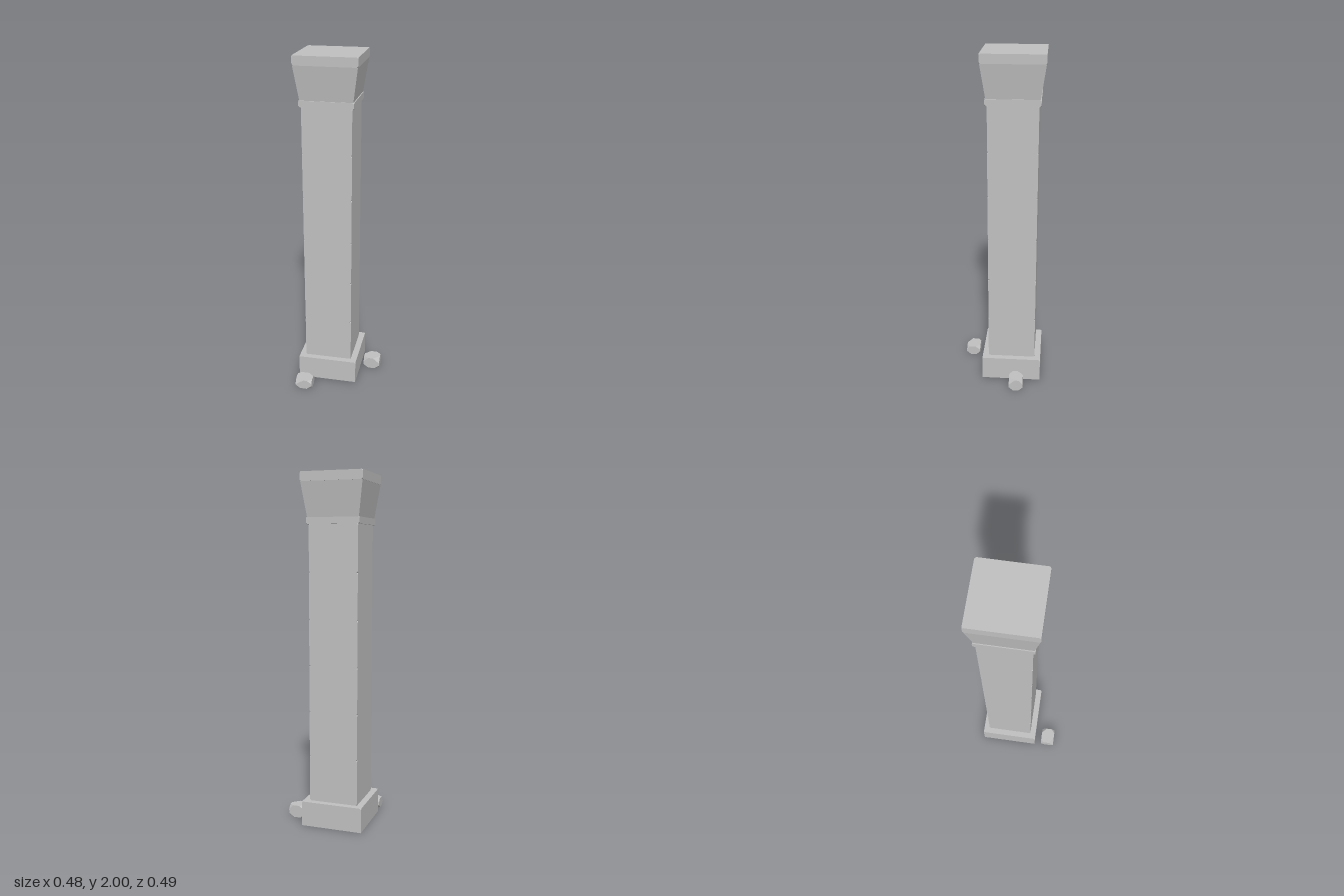
import * as THREE from 'three';
import { ConvexGeometry } from 'three/addons/geometries/ConvexGeometry.js';

const stone = new THREE.MeshStandardMaterial({ color: 0xc0c0c0, side: THREE.DoubleSide });
stone.name = 'grey stone';

// Block from y = 0 up to h with its eight corners cut off.
// cut(sx, sy, sz) returns how far the cut reaches along x, y and z.
// top scales the upper face for a flared block.
function chippedBlock(w, h, d, cut, top = 1) {
  const points = [];
  for (const sx of [-1, 1]) for (const sy of [-1, 1]) for (const sz of [-1, 1]) {
    const [cx, cy, cz] = cut(sx, sy, sz);
    const corner = [sx * w / 2, sy > 0 ? h : 0, sz * d / 2];
    const ends = cx + cy + cz === 0 ? [[0, 0, 0]] : [[cx, 0, 0], [0, cy, 0], [0, 0, cz]];
    for (const [x, y, z] of ends) {
      const py = corner[1] - sy * y;
      const s = 1 + (top - 1) * py / h;
      points.push(new THREE.Vector3((corner[0] - sx * x) * s, py, (corner[2] - sz * z) * s));
    }
  }
  return new ConvexGeometry(points);
}

// Removes the faces lying on y = 0
function openBottom(geometry) {
  const p = geometry.attributes.position;
  const kept = [];
  for (let i = 0; i < p.count; i += 3) {
    if (Math.max(p.getY(i), p.getY(i + 1), p.getY(i + 2)) < 1e-5) continue;
    for (let j = i; j < i + 3; j++) kept.push(p.getX(j), p.getY(j), p.getZ(j));
  }
  const open = new THREE.BufferGeometry();
  open.setAttribute('position', new THREE.Float32BufferAttribute(kept, 3));
  open.computeVertexNormals();
  return open;
}

function add(parent, name, geometry, x, y, z) {
  const mesh = new THREE.Mesh(geometry, stone);
  mesh.name = name;
  mesh.position.set(x, y, z);
  parent.add(mesh);
}

export function createModel() {
  const model = new THREE.Group();
  model.name = 'stoneColumn';
  const column = new THREE.Group();
  column.name = 'column';
  column.position.set(-0.0625, 0, -0.0655);
  model.add(column);

  const small = () => [0.008, 0.008, 0.008];
  const none = () => [0, 0, 0];
  const topOnly = (sx, sy) => (sy > 0 ? small() : none());

  // Hollow plinth
  add(column, 'base', openBottom(chippedBlock(0.357, 0.143, 0.357, topOnly)), 0, 0, 0);

  // Shaft of six stacked blocks, notched at the corners of each joint
  const blocks = 6, bottom = 0.143, height = (1.72 - bottom) / blocks;
  for (let i = 0; i < blocks; i++) {
    add(column, 'shaftBlock', chippedBlock(0.284, height, 0.284, small), 0, bottom + i * height, 0);
  }

  // Capital: collar, flare and top slab
  add(column, 'collar', chippedBlock(0.307, 0.037, 0.307, small), 0, 1.72, 0);
  add(column, 'flare', chippedBlock(0.297, 0.191, 0.297, none, 0.353 / 0.297), 0, 1.757, 0);
  add(column, 'topSlab', chippedBlock(0.357, 0.052, 0.357, small), 0, 1.948, 0);

  // Loose rubble; upper cuts listed as back left, back right, front left, front right of the plan
  const rubble = (cuts) => (sx, sy, sz) => {
    const c = cuts[(sz > 0 ? 2 : 0) + (sx > 0 ? 1 : 0)];
    return sy > 0 ? c : [0.03, 0.022, 0.026];
  };
  add(model, 'rubbleBeside', chippedBlock(0.1, 0.072, 0.084, rubble([
    [0.036, 0.025, 0.034], [0.026, 0.025, 0.022], [0.03, 0.03, 0.022], [0.04, 0.032, 0.037],
  ])), 0.189, 0, -0.101);
  add(model, 'rubbleInFront', chippedBlock(0.101, 0.058, 0.086, rubble([
    [0.022, 0.02, 0.016], [0.033, 0.022, 0.028], [0.05, 0.035, 0.028], [0.028, 0.02, 0.02],
  ])), -0.1845, 0, 0.199);

  return model;
}
